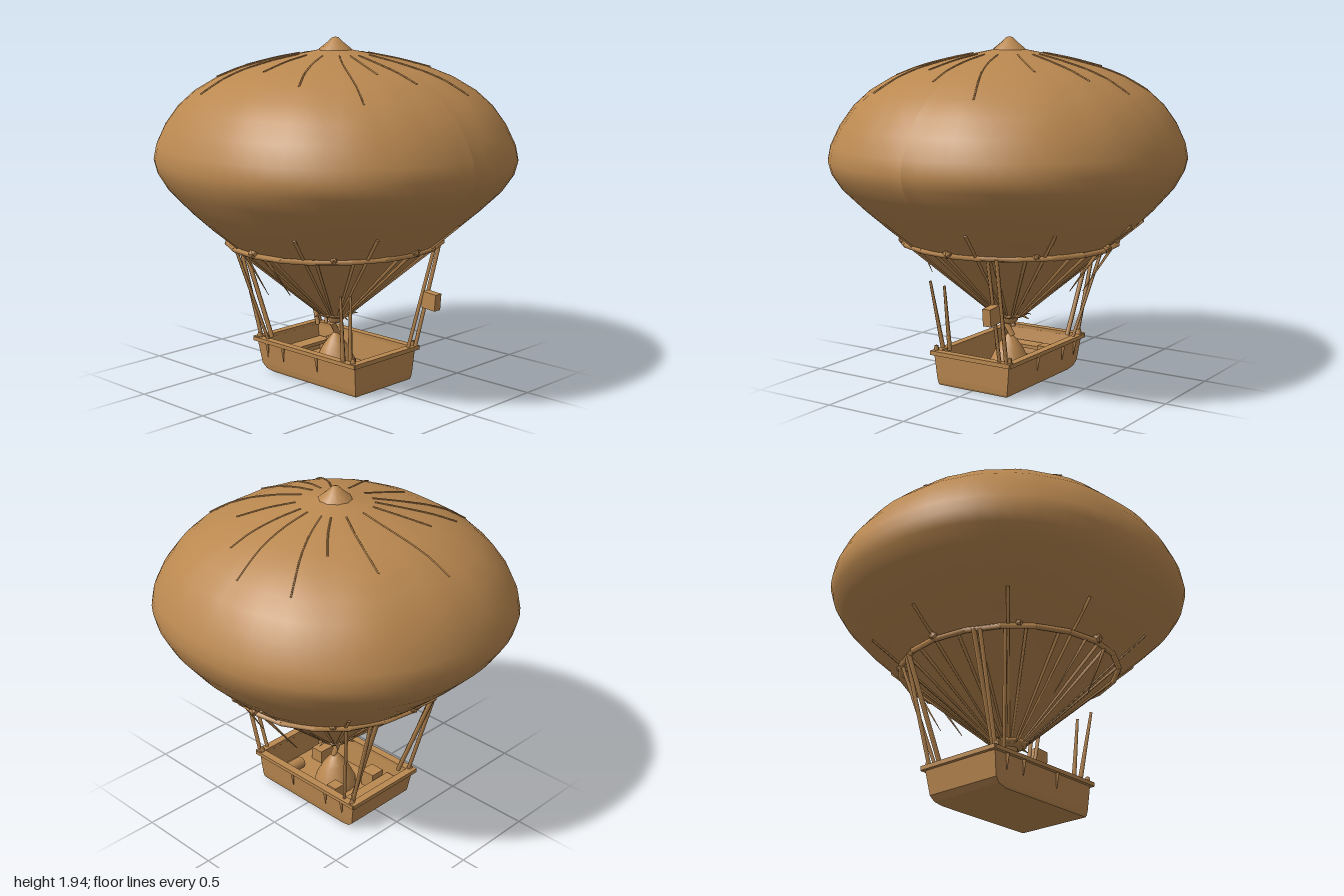
import * as THREE from 'three';

const canvas = new THREE.MeshStandardMaterial({ color: 0xba8850, side: THREE.DoubleSide });
canvas.name = 'tan canvas';
const wood = canvas;

const V = (x, y, z) => new THREE.Vector3(x, y, z);

function add(group, name, geometry, x = 0, y = 0, z = 0) {
  const mesh = new THREE.Mesh(geometry, wood);
  mesh.name = name;
  mesh.position.set(x, y, z);
  group.add(mesh);
  return mesh;
}

const box = (group, name, w, h, d, x, y, z) => add(group, name, new THREE.BoxGeometry(w, h, d), x, y, z);

// Tapered strut between two points
function strut(group, name, a, b, r0, r1 = r0, sides = 5) {
  const d = b.clone().sub(a);
  const mesh = add(group, name, new THREE.CylinderGeometry(r1, r0, d.length(), sides));
  mesh.position.copy(a).addScaledVector(d, 0.5);
  mesh.quaternion.setFromUnitVectors(V(0, 1, 0), d.normalize());
  return mesh;
}

// Envelope outline: radius, height
const OUTLINE = [[0.05, 0.35], [0.1, 0.375], [0.35, 0.585], [0.6, 0.8], [0.71, 0.89], [0.82, 1.0], [0.91, 1.115],
  [0.95, 1.2], [0.965, 1.27], [0.95, 1.35], [0.9, 1.46], [0.83, 1.56], [0.74, 1.645], [0.62, 1.72], [0.5, 1.77],
  [0.34, 1.815], [0.2, 1.845], [0.08, 1.87]];

// Slightly squared, pleated balloon skin
function envelopePoint(r, y, a) {
  const c = Math.cos(a), s = Math.sin(a);
  const wide = THREE.MathUtils.smoothstep(y, 0.85, 1.25);
  const n = 2 + 0.22 * wide;
  const k = (Math.abs(c) ** n + Math.abs(s) ** n) ** (-1 / n);
  const pleat = 1 + 0.006 * Math.sin(a * 17 + 2 * Math.sin(a * 3)) * THREE.MathUtils.smoothstep(y, 1.3, 1.7);
  return V(r * k * c * pleat, y, r * k * s * pleat * (0.97 + 0.065 * wide));
}

function envelope() {
  const g = new THREE.LatheGeometry(OUTLINE.map(p => new THREE.Vector2(...p)), 64);
  const pos = g.attributes.position;
  for (let i = 0; i < pos.count; i++) {
    const x = pos.getX(i), y = pos.getY(i), z = pos.getZ(i);
    const p = envelopePoint(Math.hypot(x, z), y, Math.atan2(z, x));
    pos.setXYZ(i, p.x, p.y, p.z);
  }
  g.computeVertexNormals();
  return g;
}

// Rectangular loft: rows of [y, halfWidth, back, front]
function loft(rows) {
  const pts = [], idx = [];
  for (const [y, w, b, f] of rows) pts.push(-w, y, b, -w, y, f, w, y, f, w, y, b);
  for (let r = 0; r < rows.length - 1; r++) for (let i = 0; i < 4; i++) {
    const a = r * 4 + i, b = r * 4 + (i + 1) % 4;
    idx.push(a, b, b + 4, a, b + 4, a + 4);
  }
  const e = (rows.length - 1) * 4;
  idx.push(0, 3, 2, 0, 2, 1, e, e + 1, e + 2, e, e + 2, e + 3);
  let g = new THREE.BufferGeometry();
  g.setAttribute('position', new THREE.Float32BufferAttribute(pts, 3));
  g.setIndex(idx);
  g = g.toNonIndexed();
  g.computeVertexNormals();
  return g;
}

function lathe(points, sides) {
  return new THREE.LatheGeometry(points.map(p => new THREE.Vector2(...p)), sides);
}

export function createModel() {
  const model = new THREE.Group();
  model.name = 'airship';

  // Balloon with crown cap
  add(model, 'envelope', envelope());
  add(model, 'crownCap', lathe([[0.1, 1.855], [0.09, 1.875], [0.045, 1.91], [0.02, 1.935], [0, 1.94]], 10));

  // Crown seams running down from the cap
  const seams = new THREE.Group();
  seams.name = 'crownSeams';
  model.add(seams);
  for (let i = 0; i < 16; i++) {
    const a = (i + 0.3 * Math.sin(i * 5)) * Math.PI / 8;
    const last = 12 + (i * 7) % 3;
    const pts = OUTLINE.slice(last, 17).map(([r, y]) => envelopePoint(r, y + 0.002, a + 0.04 * Math.sin(r * 6)));
    add(seams, 'seam', new THREE.TubeGeometry(new THREE.CatmullRomCurve3(pts), 8, 0.005, 4));
  }

  // Load ring made of straight bars with knobs at the quarters
  const ring = new THREE.Group();
  ring.name = 'loadRing';
  model.add(ring);
  const ringPoint = (a, y = 0.8) => V(0.625 * Math.cos(a), y, 0.595 * Math.sin(a));
  for (let i = 0; i < 20; i++) {
    strut(ring, 'ringBar', ringPoint(i * Math.PI / 10), ringPoint((i + 1.04) * Math.PI / 10), 0.016);
  }
  for (let i = 0; i < 8; i++) {
    const p = ringPoint(i * Math.PI / 4, 0.815);
    add(ring, 'ringKnob', new THREE.IcosahedronGeometry(i % 2 ? 0.022 : 0.032), p.x, p.y, p.z);
  }

  // Net cords from the neck up the lower cone
  const cords = new THREE.Group();
  cords.name = 'netCords';
  model.add(cords);
  for (let i = 0; i < 28; i++) {
    const a = (i + 0.25 * Math.sin(i * 3)) * Math.PI / 14;
    const top = i % 3 ? envelopePoint(0.605, 0.8, a) : envelopePoint(0.77, 0.95, a);
    strut(cords, 'cord', envelopePoint(0.075, 0.355, a), top, 0.007, 0.012, 4);
  }

  // Loose lines hanging from the sides of the ring
  for (const s of [-1, 1]) for (const z of [-0.08, 0.08]) {
    strut(cords, 'looseLine', V(s * 0.61, 0.79, z), V(s * (0.44 + z * 0.3), 0.55 + z * 0.3, z * 1.4), 0.01, 0.002, 4);
  }

  // Neck collar and burner
  const burner = new THREE.Group();
  burner.name = 'burner';
  model.add(burner);
  add(burner, 'collar', lathe([[0.04, 0.34], [0.1, 0.36], [0.105, 0.375], [0.06, 0.385]], 12));
  add(burner, 'burnerCup', lathe([[0, 0.305], [0.03, 0.31], [0.05, 0.33], [0.05, 0.36]], 10));
  strut(burner, 'upperStem', V(-0.025, 0.31, 0), V(0.02, 0.235, 0), 0.018);
  add(burner, 'burnerBase', lathe([[0.125, 0.03], [0.12, 0.08], [0.075, 0.17], [0.045, 0.21], [0.015, 0.245], [0, 0.25]], 14));
  for (let i = 0; i < 7; i++) {
    const a = i * 0.9;
    strut(burner, 'collarTie', V(0.08 * Math.cos(a), 0.367, 0.08 * Math.sin(a)),
      V(0.13 * Math.cos(a), 0.35 + 0.02 * (i % 2), 0.13 * Math.sin(a)), 0.01, 0.002, 4);
  }

  // Boat-shaped basket, hollow, with a rounded back keel
  const basket = new THREE.Group();
  basket.name = 'basket';
  model.add(basket);
  add(basket, 'hull', loft([[0, 0.225, -0.28, 0.375], [0.012, 0.23, -0.335, 0.38], [0.04, 0.235, -0.365, 0.383],
    [0.18, 0.25, -0.39, 0.39], [0.18, 0.225, -0.365, 0.365], [0.035, 0.21, -0.335, 0.355]]));
  for (const s of [-1, 1]) {
    box(basket, 'sideRail', 0.045, 0.022, 0.81, s * 0.247, 0.185, 0);
    box(basket, 'endRail', 0.53, 0.024, 0.045, 0, 0.187, s * 0.388);
    for (const z of [-0.3, -0.17, 0.1]) {
      strut(basket, 'railPeg', V(s * 0.258, 0.18, z), V(s * 0.25, 0.09, z), 0.014, 0.003, 4);
    }
    for (const z of [-1, 1]) {
      add(basket, 'cornerPost', new THREE.CylinderGeometry(0.012, 0.018, 0.05, 5), s * 0.245, 0.2, z * 0.375);
    }
  }

  // Cargo and bench inside the basket
  box(basket, 'bench', 0.4, 0.02, 0.09, 0, 0.11, -0.28);
  box(basket, 'crate', 0.09, 0.1, 0.09, -0.14, 0.085, -0.17);
  box(basket, 'crate', 0.07, 0.13, 0.07, 0.15, 0.1, -0.15);
  box(basket, 'crate', 0.1, 0.08, 0.08, -0.13, 0.075, 0.24);
  const bundle = add(basket, 'bundle', new THREE.CylinderGeometry(0.035, 0.035, 0.14, 8), 0.1, 0.07, 0.26);
  bundle.rotation.z = Math.PI / 2;

  // Suspension ropes
  const ropes = new THREE.Group();
  ropes.name = 'suspensionRopes';
  model.add(ropes);
  for (const s of [-1, 1]) {
    strut(ropes, 'backRope', V(s * 0.235, 0.19, -0.37), V(s * 0.27, 0.8, -0.535), 0.012);
    strut(ropes, 'backRope', V(s * 0.19, 0.19, -0.33), V(s * 0.24, 0.8, -0.55), 0.014);
    strut(ropes, 'backRope', V(s * 0.24, 0.19, -0.31), V(s * 0.38, 0.8, -0.46), 0.01);
  }
  strut(ropes, 'frontRope', V(0.24, 0.19, 0.4), V(0.27, 0.8, 0.54), 0.012);
  strut(ropes, 'frontRope', V(0.19, 0.19, 0.39), V(0.22, 0.8, 0.55), 0.011);
  strut(ropes, 'shortRope', V(-0.25, 0.19, 0.305), V(-0.31, 0.58, 0.34), 0.014, 0.008);
  strut(ropes, 'shortRope', V(-0.2, 0.19, 0.31), V(-0.22, 0.56, 0.33), 0.014, 0.008);

  // Small pennant block on the front rope
  const flag = box(model, 'pennant', 0.05, 0.095, 0.095, 0.228, 0.49, 0.525);
  flag.rotation.x = 0.08;

  return model;
}
